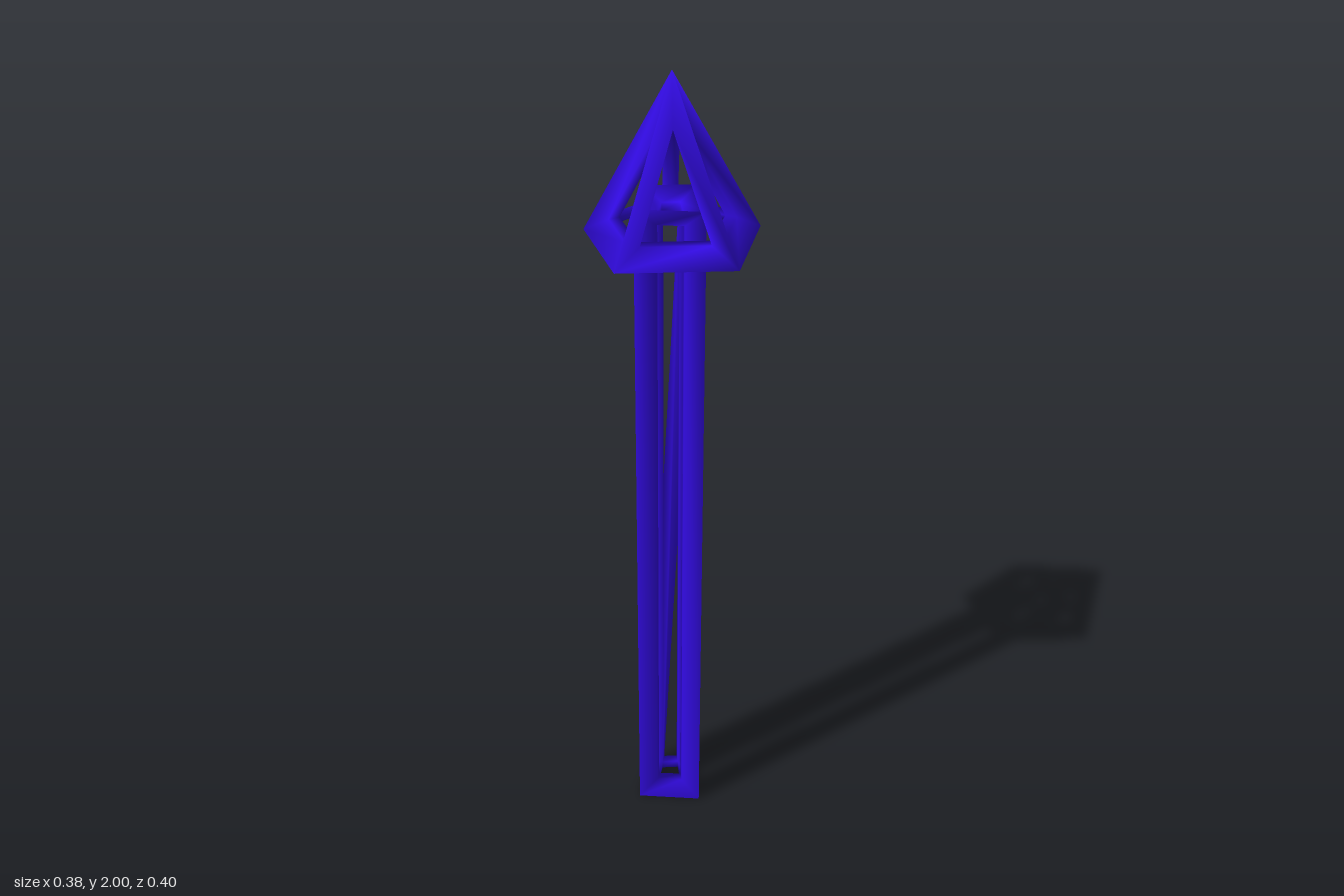
import * as THREE from 'three';

const HALF = 0.022; // half thickness of the struts

// Turns a solid given by outer corners and outward faces into a frame of struts along its edges.
function makeFrame(name, corners, faces, material) {
  const pts = corners.map((c) => new THREE.Vector3(...c));
  const dir = (a, b) => b.clone().sub(a).normalize();
  const around = (face, i) => [face[(i + face.length - 1) % face.length], face[i], face[(i + 1) % face.length]];
  const normals = faces.map((f) => dir(pts[f[0]], pts[f[1]]).cross(dir(pts[f[1]], pts[f[2]])).normalize());

  // Corner normals, weighted by the angle of each face
  const shares = pts.map(() => []);
  faces.forEach((face, k) => face.forEach((v, i) => {
    const [p, , n] = around(face, i);
    shares[v].push({ normal: normals[k], angle: dir(pts[v], pts[p]).angleTo(dir(pts[v], pts[n])) });
  }));
  const shift = shares.map((list) => {
    const n = new THREE.Vector3();
    list.forEach((s) => n.addScaledVector(s.normal, s.angle));
    n.normalize();
    const total = list.reduce((sum, s) => sum + s.angle, 0);
    const stretch = list.reduce((sum, s) => sum + s.angle / n.dot(s.normal), 0) / total;
    return n.multiplyScalar(-HALF * stretch);
  });
  const mid = pts.map((p, i) => p.clone().add(shift[i]));
  const inner = mid.map((p, i) => p.clone().add(shift[i]));

  // Outer and inner corners, then one inset corner per face corner
  const verts = [...pts, ...inner];
  const index = [];
  const quad = (a, b, c, d) => index.push(a, b, c, a, c, d);
  faces.forEach((face) => {
    const start = verts.length;
    face.forEach((v, i) => {
      const [p, , n] = around(face, i);
      const a = dir(mid[v], mid[p]);
      const b = dir(mid[v], mid[n]);
      const reach = HALF / Math.sin(a.angleTo(b));
      verts.push(mid[v].clone().addScaledVector(a.add(b), reach));
    });
    face.forEach((v, i) => {
      const j = (i + 1) % face.length;
      const w = face[j];
      quad(v, w, start + j, start + i);
      quad(start + i, start + j, w + pts.length, v + pts.length);
    });
  });

  const geometry = new THREE.BufferGeometry().setFromPoints(verts);
  geometry.setIndex(index);
  geometry.computeVertexNormals();
  const mesh = new THREE.Mesh(geometry, material);
  mesh.name = name;
  return mesh;
}

export function createModel() {
  const group = new THREE.Group();
  group.name = 'arrowFrame';
  const blue = new THREE.MeshStandardMaterial({ color: 0x330be6 });

  // Shaft: uneven four-sided prism, with a diagonal strut on its back side
  const plan = [[-0.065, -0.053], [0.047, -0.088], [0.1, 0.05], [-0.056, 0.077]];
  const shaftCorners = [0, 1.71].flatMap((y) => plan.map(([x, z]) => [x, y, z]));
  const shaftFaces = [[0, 1, 2, 3], [7, 6, 5, 4], [1, 0, 5], [0, 4, 5]];
  for (let i = 1; i < 4; i++) {
    const j = (i + 1) % 4;
    shaftFaces.push([j, i, i + 4, j + 4]);
  }
  group.add(makeFrame('shaft', shaftCorners, shaftFaces, blue));

  // Head: five-sided pyramid
  const rim = [[-0.048, -0.203], [0.187, -0.112], [0.19, 0.122], [-0.066, 0.2], [-0.192, 0.003]];
  const headCorners = [...rim.map(([x, z]) => [x, 1.615, z]), [0.01, 2, 0]];
  const headFaces = [[0, 1, 2, 3, 4]];
  for (let i = 0; i < 5; i++) headFaces.push([(i + 1) % 5, i, 5]);
  group.add(makeFrame('head', headCorners, headFaces, blue));

  return group;
}
